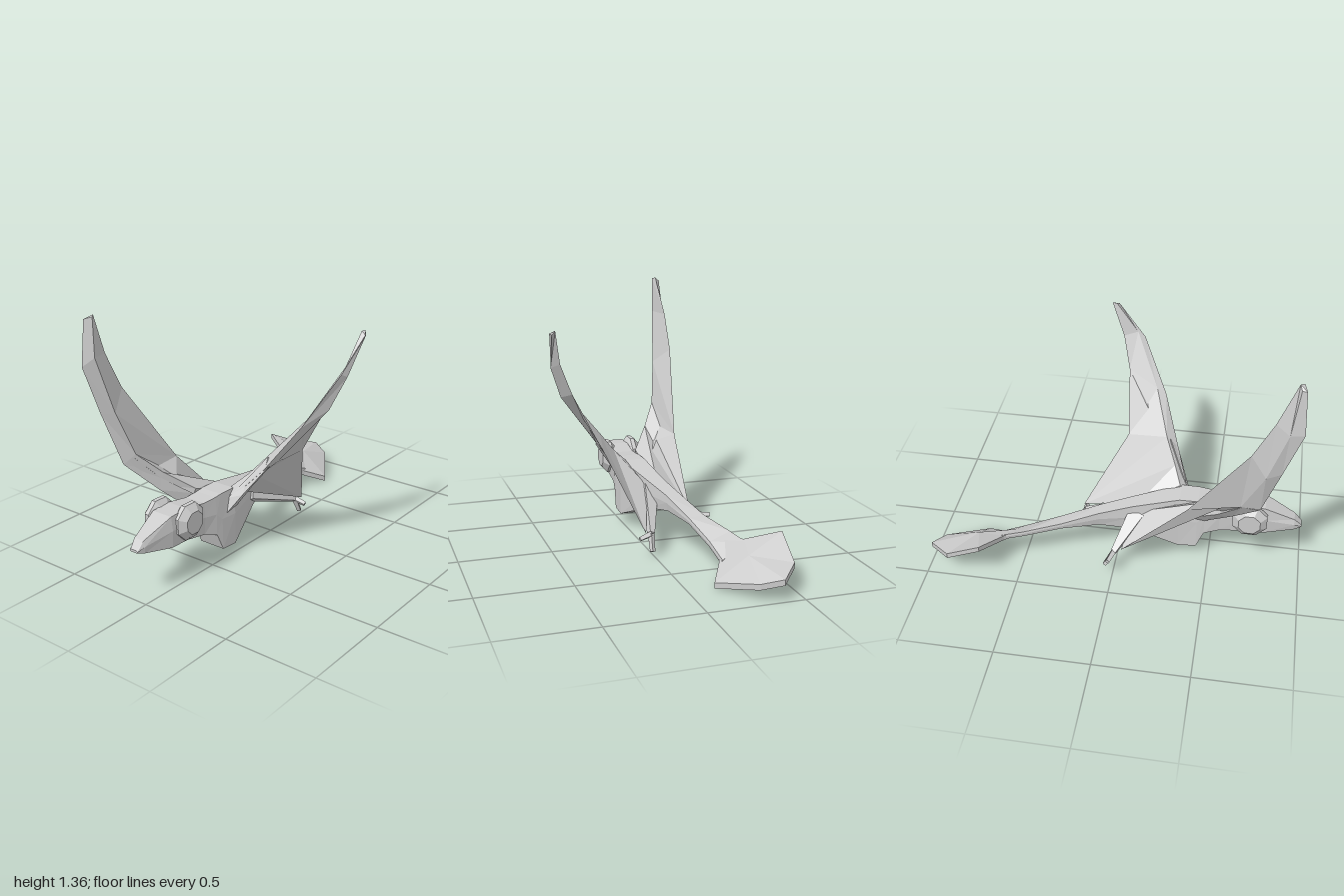
import * as THREE from 'three';

const material = new THREE.MeshStandardMaterial({ color: 0xcccccc, flatShading: true, side: THREE.DoubleSide });

function addMesh(group, name, geometry) {
  const mesh = new THREE.Mesh(geometry, material);
  mesh.name = name;
  group.add(mesh);
  return mesh;
}

// Joins rings of equal size into a skin and closes both ends
function loft(rings) {
  const n = rings[0].length, index = [];
  for (let i = 0; i < rings.length - 1; i++) {
    for (let j = 0; j < n; j++) {
      const a = i * n + j, b = i * n + (j + 1) % n;
      index.push(a, b, a + n, b, b + n, a + n);
    }
  }
  const last = (rings.length - 1) * n;
  for (let j = 1; j < n - 1; j++) {
    index.push(0, j + 1, j, last, last + j, last + j + 1);
  }
  const geometry = new THREE.BufferGeometry();
  geometry.setAttribute('position', new THREE.Float32BufferAttribute(rings.flat(2), 3));
  geometry.setIndex(index);
  geometry.computeVertexNormals();
  return geometry;
}

// Tapered four-sided rod between two points
function rod(a, b, rA, rB) {
  const from = new THREE.Vector3(...a), to = new THREE.Vector3(...b);
  const dir = to.clone().sub(from);
  const geometry = new THREE.CylinderGeometry(rB, rA, dir.length(), 4);
  geometry.applyQuaternion(new THREE.Quaternion().setFromUnitVectors(new THREE.Vector3(0, 1, 0), dir.normalize()));
  const mid = from.add(to).multiplyScalar(0.5);
  return geometry.translate(mid.x, mid.y, mid.z);
}

// Six-sided body ring; roll tilts it across its width
function bodyRing([z, cx, top, bottom, wTop, wMid, wLow, roll = 0]) {
  const mid = bottom + (top - bottom) * 0.55;
  return [[wTop, top], [wMid, mid], [wLow, bottom], [-wLow, bottom], [-wMid, mid], [-wTop, top]]
    .map(([x, y]) => [cx + x, y - roll * x, z]);
}

export function createModel() {
  const model = new THREE.Group();
  model.name = 'flyingReptile';

  // Head and neck: z, centre x, top, bottom, half widths
  const neck = [0.55, -0.065, 0.375, 0.2, 0.06, 0.066, 0.06];
  addMesh(model, 'head', loft([
    [0.99, -0.075, 0.275, 0.262, 0.02, 0.026, 0.022],
    [0.95, -0.075, 0.315, 0.25, 0.03, 0.04, 0.035],
    [0.79, -0.07, 0.39, 0.225, 0.06, 0.07, 0.065],
    [0.68, -0.07, 0.395, 0.22, 0.06, 0.068, 0.06],
    neck,
  ].map(bodyRing)));

  // Trunk with deep chest, narrowing into the tail
  addMesh(model, 'bodyAndTail', loft([
    neck,
    [0.47, -0.06, 0.38, 0.17, 0.062, 0.07, 0.07],
    [0.43, -0.06, 0.385, 0.075, 0.064, 0.074, 0.076],
    [0.33, -0.06, 0.385, 0.068, 0.066, 0.078, 0.076],
    [0.08, -0.11, 0.33, 0.172, 0.047, 0.055, 0.047],
    [-0.1, -0.155, 0.288, 0.205, 0.04, 0.044, 0.036],
    [-0.3, -0.208, 0.228, 0.195, 0.042, 0.045, 0.042, 0.1],
    [-0.5, -0.26, 0.18, 0.15, 0.055, 0.058, 0.055, 0.4],
    [-0.64, -0.285, 0.145, 0.115, 0.065, 0.068, 0.065, 0.6],
  ].map(bodyRing)));

  // Tail vane: tilted rim drawn to a shallow peak above and below
  const rim = [
    [-0.255, 0.165, -0.5], [-0.35, 0.18, -0.6], [-0.515, 0.235, -0.69], [-0.495, 0.14, -0.88],
    [-0.39, 0.11, -1], [-0.285, 0.08, -0.95], [-0.138, 0.026, -0.74], [-0.21, 0.085, -0.62],
  ];
  const shifted = (dy) => rim.map(([x, y, z]) => [x, y + dy, z]);
  const peak = (dy) => rim.map(() => [-0.31, 0.135 + dy, -0.75]);
  addMesh(model, 'tailVane', loft([peak(0.025), shifted(0.01), shifted(-0.02), peak(-0.03)]));

  // Eyes: bevelled octagonal discs on both sides of the head
  const eyeProfile = [[0, -0.043], [0.062, -0.043], [0.1, -0.012], [0.1, 0.012], [0.062, 0.043], [0, 0.043]]
    .map(([r, h]) => new THREE.Vector2(r, h));
  for (const [name, x, z] of [['leftEye', -0.003, 0.67], ['rightEye', -0.16, 0.713]]) {
    const eye = new THREE.LatheGeometry(eyeProfile, 8);
    eye.rotateY(Math.PI / 8).rotateZ(Math.PI / 2);
    addMesh(model, name, eye).position.set(x, 0.327, z);
  }

  // Wings: each section is leading edge, upper ridge, trailing edge, lower ridge
  addMesh(model, 'leftWing', loft([
    [[-0.01, 0.34, 0.37], [-0.01, 0.39, 0.32], [-0.07, 0.29, 0.1], [-0.01, 0.35, 0.29]],
    [[0.08, 0.41, 0.33], [0.07, 0.465, 0.28], [0.045, 0.135, -0.23], [0.1, 0.45, 0.25]],
    [[0.17, 0.51, 0.285], [0.165, 0.58, 0.22], [0.21, 0.54, 0], [0.19, 0.53, 0.2]],
    [[0.335, 0.75, 0.19], [0.335, 0.78, 0.14], [0.38, 0.86, -0.022], [0.42, 0.83, 0.07]],
    [[0.475, 1.02, 0.05], [0.472, 1.05, 0.01], [0.452, 1.03, -0.065], [0.485, 1.0, 0.01]],
    [[0.513, 1.195, -0.1], [0.485, 1.21, -0.11], [0.49, 1.21, -0.135], [0.505, 1.19, -0.12]],
  ]));
  addMesh(model, 'rightWing', loft([
    [[-0.13, 0.35, 0.5], [-0.12, 0.4, 0.48], [-0.13, 0.27, 0.08], [-0.13, 0.35, 0.3]],
    [[-0.24, 0.44, 0.62], [-0.22, 0.51, 0.61], [-0.3, 0.14, 0.04], [-0.25, 0.45, 0.48]],
    [[-0.35, 0.57, 0.76], [-0.3, 0.625, 0.72], [-0.33, 0.5, 0.39], [-0.345, 0.57, 0.66]],
    [[-0.4, 0.85, 0.845], [-0.335, 0.86, 0.81], [-0.405, 0.95, 0.69], [-0.42, 0.83, 0.77]],
    [[-0.42, 1.11, 0.93], [-0.36, 1.16, 0.9], [-0.405, 1.15, 0.79], [-0.422, 1.1, 0.86]],
    [[-0.405, 1.345, 0.915], [-0.36, 1.36, 0.9], [-0.375, 1.365, 0.88], [-0.4, 1.345, 0.89]],
  ]));

  // Upper arms reaching from the chest to the wing's leading edge
  addMesh(model, 'leftArm', loft([
    [[-0.01, 0.23, 0.41], [0, 0.34, 0.37], [-0.01, 0.25, 0.31]],
    [[0.08, 0.37, 0.345], [0.075, 0.44, 0.31], [0.085, 0.39, 0.28]],
    [[0.175, 0.505, 0.285], [0.165, 0.57, 0.24], [0.185, 0.53, 0.23]],
  ]));
  addMesh(model, 'rightArm', loft([
    [[-0.13, 0.26, 0.47], [-0.12, 0.38, 0.5], [-0.13, 0.27, 0.38]],
    [[-0.24, 0.41, 0.62], [-0.23, 0.48, 0.62], [-0.25, 0.42, 0.54]],
    [[-0.35, 0.565, 0.755], [-0.31, 0.61, 0.73], [-0.345, 0.57, 0.67]],
  ]));

  // Legs with broad thighs, each with two splayed toes
  const legs = [
    ['left', [-0.075, 0.255, 0.11], [0.01, 0.125, -0.21], [[0.075, 0.105, -0.22], [0.015, 0.04, -0.25]]],
    ['right', [-0.13, 0.26, 0.1], [-0.32, 0.135, 0], [[-0.395, 0.13, -0.02], [-0.337, 0.055, -0.045]]],
  ];
  for (const [side, hip, ankle, toes] of legs) {
    addMesh(model, side + 'Leg', rod(hip, ankle, 0.06, 0.02));
    for (const toe of toes) addMesh(model, side + 'Toe', rod(ankle, toe, 0.018, 0.014));
  }
  return model;
}
